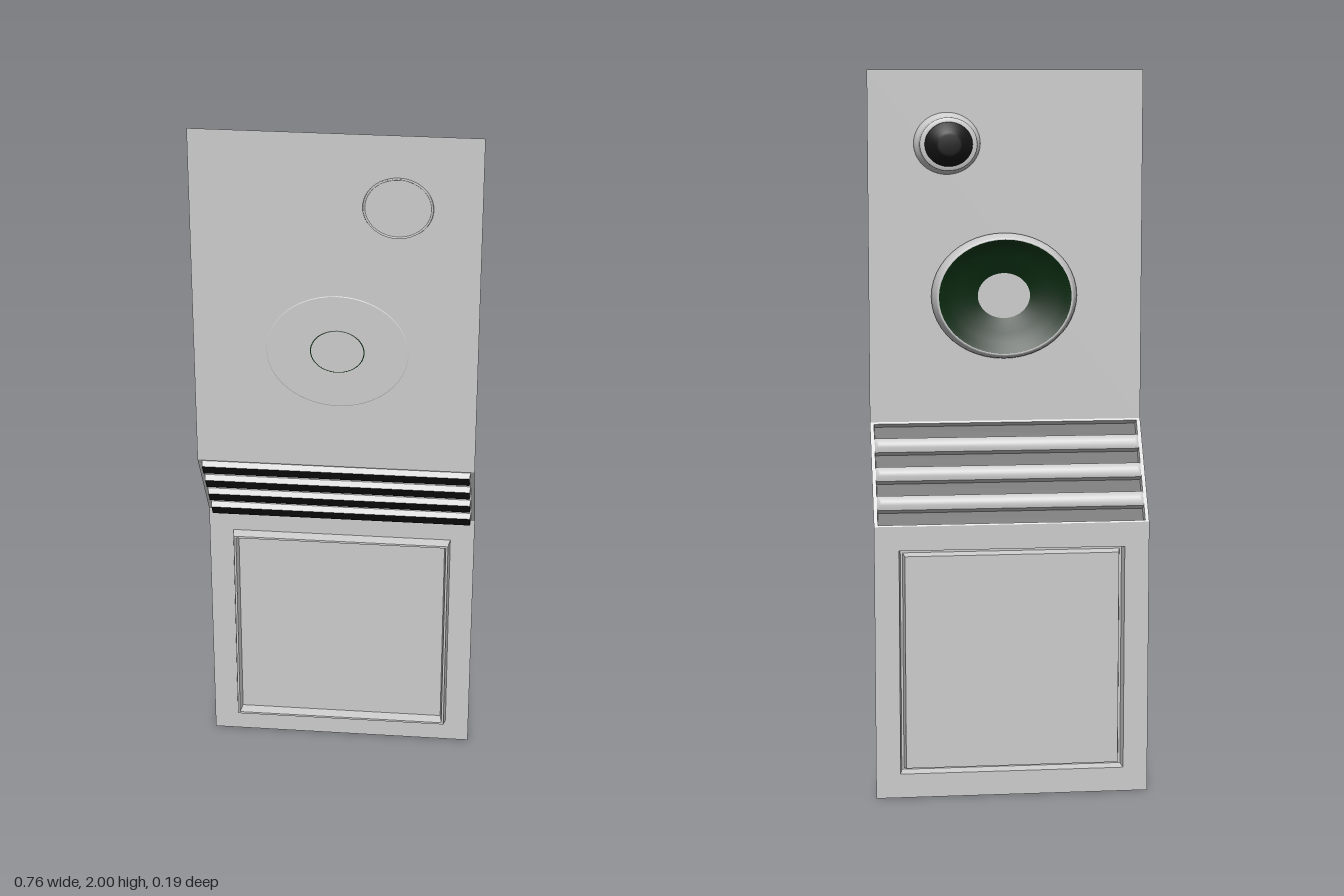
import * as THREE from 'three';

const mat = (color) => new THREE.MeshStandardMaterial({ color, side: THREE.DoubleSide });
const grey = mat(0xcccccc), black = mat(0x141414), green = mat(0x0a2a10);

function add(parent, name, geometry, material, x = 0, y = 0, z = 0) {
  const mesh = new THREE.Mesh(geometry, material);
  mesh.name = name;
  mesh.position.set(x, y, z);
  parent.add(mesh);
  return mesh;
}

// Bands of quads joining rectangles given as [half width, half height, z], outer to inner
function rectBands(loops, smooth) {
  const pos = [], index = [];
  loops.forEach(([w, h, z]) => pos.push(-w, -h, z, w, -h, z, w, h, z, -w, h, z));
  for (let l = 0; l < loops.length - 1; l++) {
    for (let i = 0; i < 4; i++) {
      const a = l * 4 + i, b = l * 4 + (i + 1) % 4;
      index.push(a, b, b + 4, a, b + 4, a + 4);
    }
  }
  const indexed = new THREE.BufferGeometry();
  indexed.setAttribute('position', new THREE.Float32BufferAttribute(pos, 3));
  indexed.setIndex(index);
  const g = smooth ? indexed : indexed.toNonIndexed();
  g.computeVertexNormals();
  return g;
}

// Round part lying against the upper sheet; profile is [radius, distance behind the sheet]
function round(profile, ratio) {
  const g = new THREE.LatheGeometry(profile.map(([r, d]) => new THREE.Vector2(r, d)), 48);
  return g.rotateX(-Math.PI / 2).scale(1, ratio, 1);
}

export function createModel() {
  const model = new THREE.Group();
  model.name = 'wallPanel';
  const W = 0.38, frontZ = 0.085, backZ = -0.093, kneeLow = 0.768, kneeHigh = 1.03;

  // Upper sheet
  add(model, 'upperSheet', new THREE.PlaneGeometry(2 * W, 2 - kneeHigh), grey,
    0, (2 + kneeHigh) / 2, frontZ);

  // Lower sheet with a narrow pressed ridge framing its flat middle
  const lower = new THREE.Group();
  lower.name = 'lowerSheet';
  lower.position.set(0, kneeLow / 2, backZ);
  const outer = [0.312, 0.316, 0], inner = [0.296, 0.3, 0];
  add(lower, 'lowerMargin', rectBands([[W, kneeLow / 2, 0], outer]), grey);
  add(lower, 'frameRidge', rectBands([outer, [0.307, 0.311, 0.029], [0.301, 0.305, 0.029], inner]), grey);
  add(lower, 'lowerPanel', new THREE.PlaneGeometry(2 * inner[0], 2 * inner[1]), grey);
  model.add(lower);

  // Sloping sheet: a thin border around four slots and the ridges between them
  const dy = kneeHigh - kneeLow, dz = frontZ - backZ, len = Math.hypot(dy, dz);
  const slope = new THREE.Group();
  slope.name = 'slopingSheet';
  slope.position.set(0, kneeLow, backZ);
  slope.rotation.x = Math.atan2(dz, dy);
  const slotW = 0.369, slotH = 0.022, depth = 0.018, pitch = 0.0872, first = 0.027;
  const ridgeH = pitch / 2 - slotH, mid = first + 1.5 * pitch;
  const border = (w, lo, hi) => [[-w, lo], [w, lo], [w, hi], [-w, hi]].map(p => new THREE.Vector2(...p));
  const shape = new THREE.Shape(border(W, 0, len));
  shape.holes.push(new THREE.Path(border(slotW, first - slotH, first + 3 * pitch + slotH).reverse()));
  add(slope, 'slopeBorder', new THREE.ShapeGeometry(shape), grey);
  for (let i = 0; i < 4; i++) {
    // Shallow tray with a dark floor
    const v = first + i * pitch;
    add(slope, 'slotWall', rectBands([[slotW, slotH, 0], [slotW - 0.002, slotH - 0.001, depth]]), grey, 0, v, 0);
    add(slope, 'slotFloor', new THREE.PlaneGeometry(2 * slotW - 0.004, 2 * slotH - 0.002), black, 0, v, depth);
  }
  for (let i = -1; i <= 1; i++) {
    add(slope, 'ridge', rectBands([[slotW, ridgeH, 0], [0.362, ridgeH * 0.5, -0.01], [0.358, 0, -0.011]], true),
      grey, 0, mid + i * pitch, 0);
  }
  model.add(slope);

  // Oval speaker: grey rim around a green cone that narrows towards the sheet
  const speaker = new THREE.Group();
  speaker.name = 'speaker';
  speaker.position.set(0.005, 1.38, frontZ);
  add(speaker, 'speakerRim', round([[0.188, -0.001], [0.198, 0.003], [0.203, 0.008], [0.198, 0.024],
    [0.191, 0.039], [0.188, 0.043], [0.184, 0.042]], 0.86), grey);
  add(speaker, 'speakerCone', round([[0.184, 0.042], [0.168, 0.034], [0.15, 0.024], [0.12, 0.015],
    [0.09, 0.006], [0.07, -0.001]], 0.86), green);
  model.add(speaker);

  // Small knob: flange, body and dark domed cap
  const knob = new THREE.Group();
  knob.name = 'knob';
  knob.position.set(0.162, 1.8, frontZ);
  add(knob, 'knobBody', round([[0.086, -0.001], [0.09, -0.005], [0.092, 0], [0.088, 0.012], [0.081, 0.018],
    [0.079, 0.025], [0.079, 0.058], [0.076, 0.062], [0.065, 0.063]], 0.92), grey);
  add(knob, 'knobCap', round([[0.066, 0.062], [0.064, 0.067], [0.036, 0.088], [0.028, 0.091], [0, 0.091]], 0.92), black);
  model.add(knob);

  return model;
}
